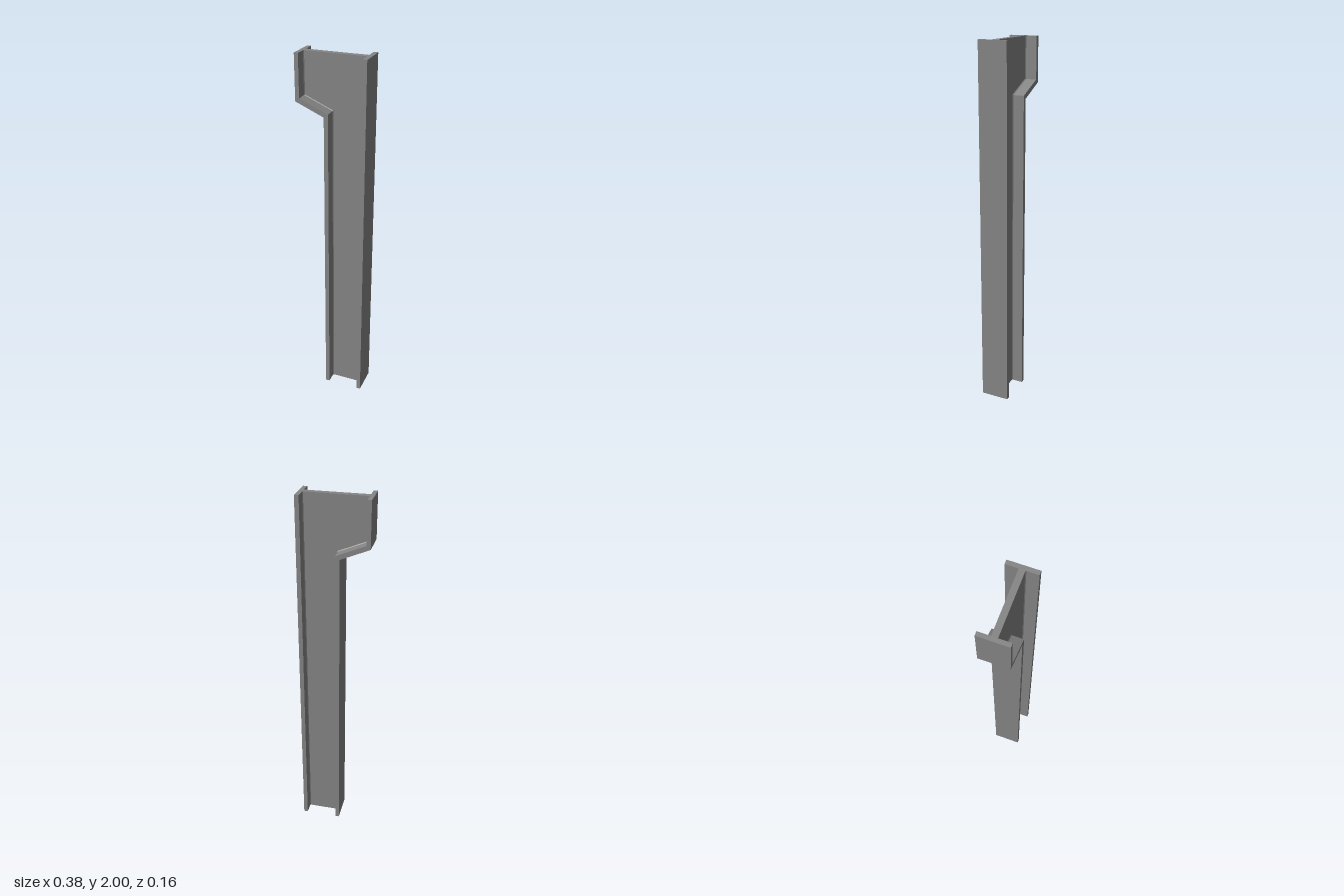
import * as THREE from 'three';

const material = new THREE.MeshStandardMaterial({ color: 0x858585 });

// Plate with an outline in the xy plane, extruded evenly about z = 0
function plate(name, points, depth) {
  const shape = new THREE.Shape(points.map(([x, y]) => new THREE.Vector2(x, y)));
  const geometry = new THREE.ExtrudeGeometry(shape, { depth, bevelEnabled: false });
  geometry.translate(0, 0, -depth / 2);
  const mesh = new THREE.Mesh(geometry, material);
  mesh.name = name;
  return mesh;
}

// Sloping strip between a line on the flange and a line on the web
function fillet(name, flangeLine, webLine, webZ, rise, flip) {
  const positions = [], index = [];
  flangeLine.forEach(([x, y], i) => positions.push(x, y, webZ + rise, ...webLine[i], webZ));
  for (let a = 0; a < flangeLine.length * 2 - 2; a += 2) {
    if (flip) index.push(a, a + 2, a + 1, a + 1, a + 2, a + 3);
    else index.push(a, a + 1, a + 2, a + 1, a + 3, a + 2);
  }
  const indexed = new THREE.BufferGeometry();
  indexed.setAttribute('position', new THREE.Float32BufferAttribute(positions, 3));
  indexed.setIndex(index);
  const geometry = indexed.toNonIndexed();
  geometry.computeVertexNormals();
  const mesh = new THREE.Mesh(geometry, material);
  mesh.name = name;
  return mesh;
}

export function createModel() {
  const group = new THREE.Group();
  group.name = 'steelColumn';
  const flangeDepth = 0.158, webDepth = 0.031, r = 0.004;

  // Outer and inner lines of the cranked flange, from the foot up
  const outer = [[-0.035, 0], [-0.035, 1.692], [-0.189, 1.757], [-0.189, 2]];
  const inner = [[-0.012, 0], [-0.012, 1.71], [-0.167, 1.775], [-0.167, 2]];
  const straight = [[0.165, 0], [0.165, 2]];

  group.add(plate('crankedFlange', [...inner, ...[...outer].reverse()], flangeDepth));
  group.add(plate('straightFlange', [[0.165, 0], [0.188, 0], [0.188, 2], [0.165, 2]], flangeDepth));
  group.add(plate('web', [...straight, ...[...inner].reverse()], webDepth));

  // Small weld fillets on both faces of the web, parallel to each flange
  const crankedToe = inner.map(([x, y], i) => [x + r, i === 1 || i === 2 ? y + r * 0.66 : y]);
  const straightToe = straight.map(([x, y]) => [x - r, y]);
  for (const side of [-1, 1]) {
    const z = side * webDepth / 2;
    group.add(fillet('crankedFillet', inner, crankedToe, z, side * r, side < 0));
    group.add(fillet('straightFillet', straight, straightToe, z, side * r, side > 0));
  }
  return group;
}
